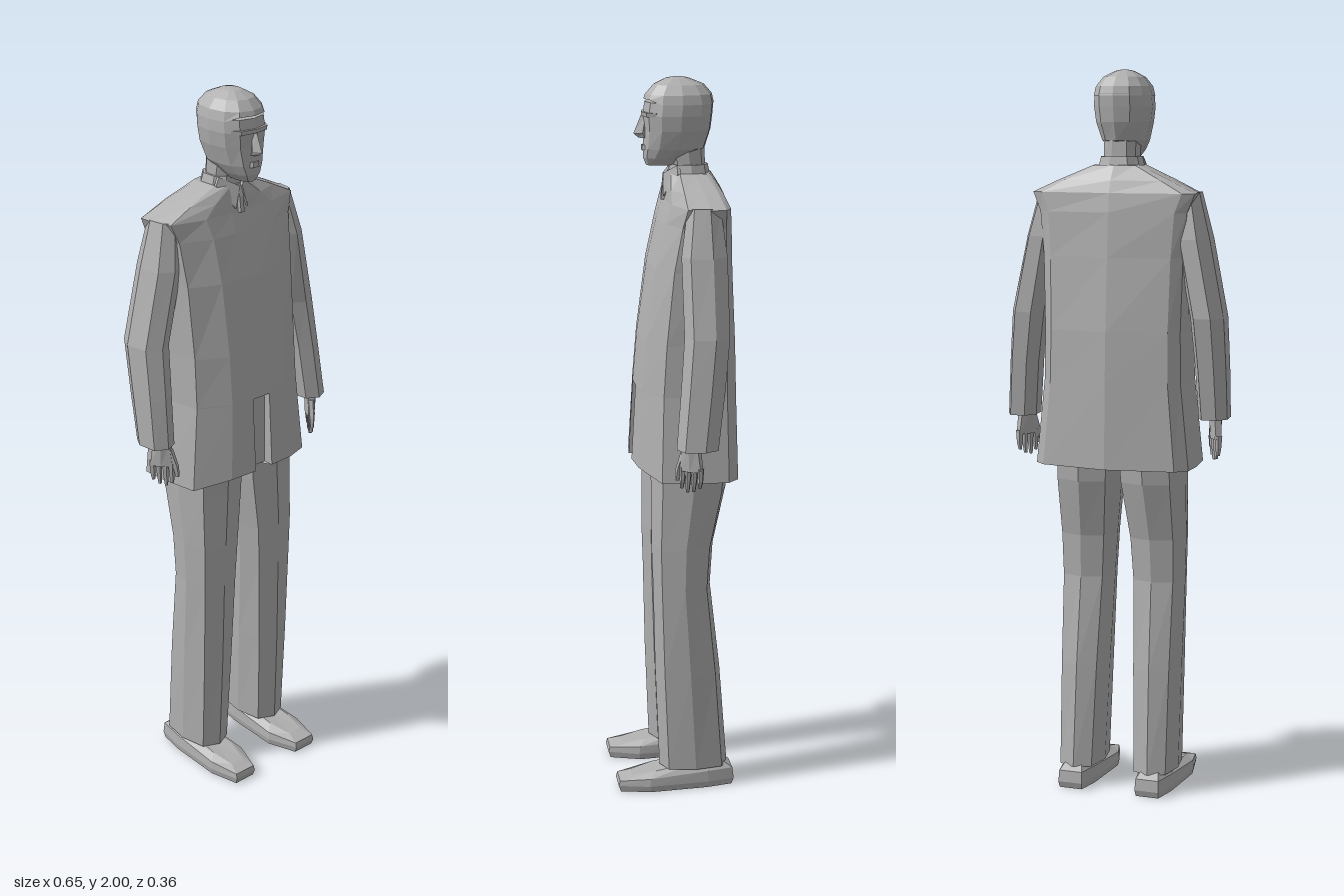
import * as THREE from 'three';

const MID = -0.017; // body centre line

// Cross-section seen from above, counter-clockwise; p < 1 makes it squarer
function ring(y, x0, x1, z0, z1, n = 8, p = 0.8, turn = 0) {
  const pow = v => Math.sign(v) * Math.abs(v) ** p;
  return Array.from({ length: n }, (_, i) => {
    const a = (i / n) * Math.PI * 2 + turn;
    return [(x0 + x1) / 2 + (x1 - x0) / 2 * pow(Math.cos(a)), y,
      (z0 + z1) / 2 - (z1 - z0) / 2 * pow(Math.sin(a))];
  });
}

// Faceted skin over rings listed from bottom to top, closed at both ends
function loft(rings) {
  const pos = [];
  const tri = (a, b, c) => {
    const [A, B, C] = [a, b, c].map(v => new THREE.Vector3(...v));
    if (B.clone().sub(A).cross(C.clone().sub(A)).length() > 1e-9) pos.push(...a, ...b, ...c);
  };
  const centre = r => [0, 1, 2].map(k => r.reduce((s, v) => s + v[k], 0) / r.length);
  const n = rings[0].length, lo = rings[0], hi = rings[rings.length - 1];
  const cl = centre(lo), ch = centre(hi);
  for (let i = 0; i < n; i++) {
    const j = (i + 1) % n;
    for (let k = 0; k < rings.length - 1; k++) {
      const a = rings[k], b = rings[k + 1];
      tri(a[i], a[j], b[j]);
      tri(a[i], b[j], b[i]);
    }
    tri(cl, lo[j], lo[i]);
    tri(ch, hi[i], hi[j]);
  }
  const g = new THREE.BufferGeometry();
  g.setAttribute('position', new THREE.Float32BufferAttribute(pos, 3));
  g.computeVertexNormals();
  return g;
}

export function createModel() {
  const model = new THREE.Group();
  const grey = new THREE.MeshStandardMaterial({ color: 0xb0b0b0 });
  grey.name = 'grey';
  const add = (name, geo, parent = model) => {
    const m = new THREE.Mesh(geo, grey);
    m.name = name;
    parent.add(m);
    return m;
  };

  // Jacket: section with a recessed slot at the front of the skirt
  const section = [[1, .45], [1, .2], [.86, .1], [0, 0], [-.86, .1], [-1, .2], [-1, .45], [-.93, .8], [-.5, .97]];
  const jacketRing = (y, w, zb, zf, slot = 0, lift = 0) => {
    const at = ([u, v]) => [MID + u * w, y + lift * Math.max(0, v - .8) * 5, zb + v * (zf - zb)];
    const nx = Math.min(.03, w * .3);
    const edge = (x, d) => [MID + x, y + lift, zf - d];
    return [...section.map(at), edge(-nx, 0), edge(-nx, slot), edge(nx, slot), edge(nx, 0), at([.5, .97]), at([.93, .8])];
  };
  add('jacket', loft([
    jacketRing(.925, .221, -.183, .12, .03, .025),
    jacketRing(1.16, .197, -.177, .108, .02),
    jacketRing(1.162, .197, -.177, .108),
    jacketRing(1.3, .195, -.172, .096),
    jacketRing(1.5, .2, -.158, .068),
    jacketRing(1.62, .21, -.15, .04),
    jacketRing(1.672, .232, -.142, .024),
    jacketRing(1.705, .16, -.13, .02),
    jacketRing(1.745, .066, -.105, .012),
  ]));

  // Sleeves: y, x range, z range
  const sleeves = {
    rightSleeve: [[1.06, -.325, -.24, -.085, .03], [1.2, -.326, -.236, -.11, .02], [1.34, -.325, -.228, -.135, .005],
      [1.55, -.282, -.185, -.125, .01], [1.675, -.25, -.18, -.105, -.01]],
    leftSleeve: [[1.045, .238, .324, -.08, .034], [1.2, .222, .31, -.1, .02], [1.34, .2, .296, -.115, .008],
      [1.55, .165, .25, -.115, .01], [1.675, .145, .214, -.1, -.01]],
  };
  for (const name in sleeves)
    add(name, loft(sleeves[name].map(([y, ...r]) => ring(y, ...r, 7, .85, .2))));

  // Hands: palm, four fingers and a thumb
  for (const [name, x, y, turn] of [['rightHand', -.278, 1.0, .6], ['leftHand', .28, .985, -.6]]) {
    const hand = new THREE.Group();
    hand.name = name;
    hand.position.set(x, y, -.005);
    hand.rotation.y = turn;
    model.add(hand);
    add('palm', loft([ring(0, -.014, .014, -.036, .034, 6), ring(.07, -.018, .018, -.026, .026, 6)]), hand);
    [-.028, -.01, .008, .025].forEach((z, i) => add('finger', loft([
      ring([-.045, -.056, -.06, -.05][i], -.005, .005, z - .002, z + .007, 5),
      ring(-.025, -.008, .008, z - .007, z + .008, 5),
      ring(.01, -.011, .011, z - .009, z + .009, 5)]), hand));
    add('thumb', loft([ring(-.03, -.005, .005, .036, .048, 5),
      ring(0, -.008, .008, .028, .046, 5), ring(.05, -.01, .01, .01, .03, 5)]), hand);
  }

  for (const s of [-1, 1]) {
    const side = s < 0 ? 'right' : 'left';
    // Trouser leg: y, inner and outer offsets from the centre line, z range
    const leg = [[.06, .05, .17, -.14, .055], [.35, .04, .174, -.118, .066], [.6, .03, .178, -.09, .071],
      [.72, .022, .181, -.098, .075], [.88, .003, .184, -.135, .075], [1, -.005, .184, -.145, .075]];
    add(side + 'TrouserLeg', loft(leg.map(([y, a, b, z0, z1]) =>
      ring(y, ...[MID + s * a, MID + s * b].sort((m, n) => m - n), z0, z1, 8, .72))));

    // Shoe: sole outline with a sloping upper
    const outline = [[.06, .09], [.05, -.08], [.035, -.155], [-.035, -.155], [-.05, -.08], [-.06, .09], [-.03, .178], [.04, .178]];
    const shoeRing = (k, height) => {
      const r = outline.map(([x, z]) => [MID + s * (.114 + x * k), height(z), (z - .01) * (k * .6 + .4) + .01]);
      return s > 0 ? r : r.reverse();
    };
    add(side + 'Shoe', loft([shoeRing(.94, () => 0), shoeRing(1, () => .018),
      shoeRing(.96, z => z > .1 ? .032 : z > 0 ? .04 : .05),
      shoeRing(.6, z => z > .1 ? .043 : z > 0 ? .055 : .075)]));

    // Pointed shirt collar flap
    const flap = new THREE.Shape([[.004, 1.742], [.02, 1.683], [.06, 1.745], [.05, 1.768]]
      .map(([x, y]) => new THREE.Vector2(s * x, y)));
    const g = new THREE.ExtrudeGeometry(flap, { depth: .008, bevelEnabled: false });
    const p = g.attributes.position;
    for (let i = 0; i < p.count; i++)
      p.setZ(i, p.getZ(i) + .02 + (1.742 - p.getY(i)) * .2 - Math.abs(p.getX(i)) * .55);
    g.translate(MID, 0, 0);
    g.computeVertexNormals();
    add(side + 'CollarFlap', g);
  }

  // Neck, collar band and tie knot
  add('neck', loft([ring(1.7, -.075, .041, -.095, .01, 9), ring(1.77, -.066, .032, -.088, .006, 9),
    ring(1.83, -.066, .032, -.085, .02, 9)]));
  add('collarBand', loft([ring(1.72, -.085, .051, -.105, .015, 9), ring(1.768, -.073, .039, -.095, .01, 9)]));
  add('tie', loft([ring(1.67, -.027, -.007, .005, .034, 6), ring(1.715, -.03, -.004, 0, .03, 6),
    ring(1.745, -.026, -.008, 0, .018, 6)]));

  // Head from jaw to crown: y, half width, z range
  const head = [[1.765, .024, -.01, .072], [1.785, .042, -.04, .08], [1.81, .059, -.088, .081], [1.86, .074, -.104, .078],
    [1.9, .079, -.109, .081], [1.935, .077, -.112, .076]];
  add('head', loft(head.map(([y, w, z0, z1]) => ring(y, MID - w, MID + w, z0, z1, 12, .85))));

  // Hair cap with a slight fringe; lower at the back than at the forehead
  const hair = [[1.93, .079, -.113, .079], [1.955, .073, -.107, .074], [1.98, .054, -.085, .052], [1.996, .025, -.045, .018], [2, .008, -.025, -.004]];
  add('hair', loft(hair.map(([y, w, z0, z1], k) => ring(y, MID - w, MID + w, z0, z1, 12, .85)
    .map(([x, yy, z]) => [x, k ? yy : yy + (z > .05 ? .012 : 0), z]))));

  // Face: nose wedge, brow and mouth
  add('nose', loft([ring(1.838, MID - .013, MID + .013, .06, .092, 4, 1), ring(1.85, MID - .013, MID + .013, .06, .106, 4, 1),
    ring(1.9, MID - .006, MID + .006, .06, .085, 4, 1)]));
  add('mouth', loft([ring(1.806, MID - .018, MID + .018, .06, .086, 6), ring(1.82, MID - .016, MID + .016, .06, .085, 6)]));
  add('brow', loft([ring(1.897, MID - .058, MID + .058, .02, .084, 8), ring(1.908, MID - .06, MID + .06, .02, .085, 8)]));

  return model;
}
